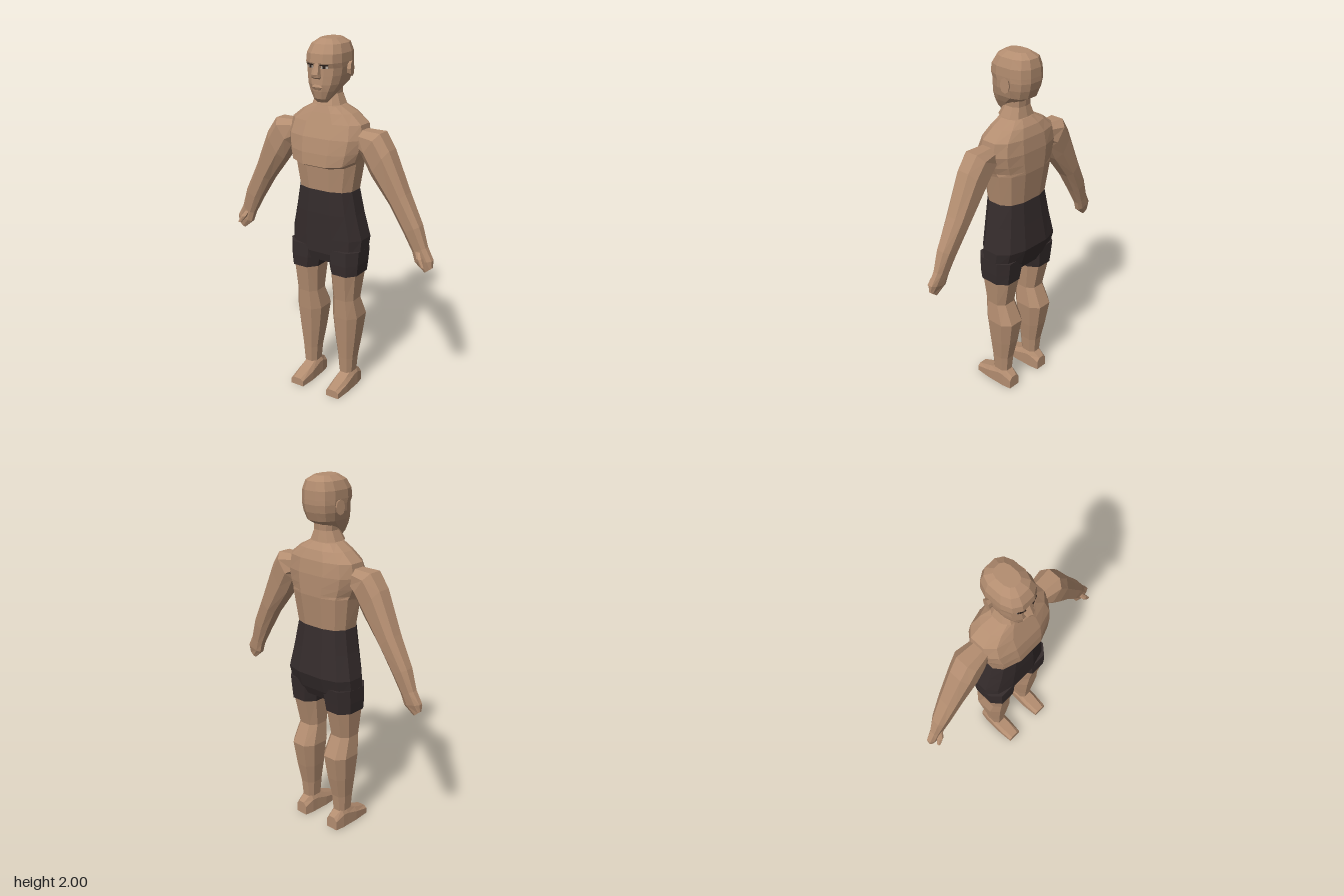
import * as THREE from 'three';

const pw = (v, p) => Math.sign(v) * Math.abs(v) ** p;

// Horizontal cross-section; dip lowers its front half
function ring(cx, y, w, zf, zb, n = 12, dip = 0) {
  const pts = [];
  const k = Math.cos(Math.PI / n); // widest corners reach the given extents
  for (let i = 0; i < n; i++) {
    const a = ((i + 0.5) / n) * Math.PI * 2;
    const x = THREE.MathUtils.clamp(pw(Math.cos(a) / k, 0.75), -1, 1);
    const z = THREE.MathUtils.clamp(pw(Math.sin(a) / k, 0.75), -1, 1);
    pts.push([cx + w * x, y - dip * Math.max(0, z), (zf + zb) / 2 + ((zf - zb) / 2) * z]);
  }
  return pts;
}

// Limb cross-section between an inner and an outer point, with a depth range
function limbRing([xi, yi, xo, yo, zf, zb]) {
  return ring(0, 0, 1, zf, zb, 8).map(([t, , z]) =>
    [xi + (xo - xi) * (t + 1) / 2, yi + (yo - yi) * (t + 1) / 2, z]);
}

// Closed skin over a row of cross-sections, always facing outwards
function loft(rings) {
  const n = rings[0].length, tris = [];
  for (let r = 0; r < rings.length - 1; r++) {
    for (let i = 0; i < n; i++) {
      const j = (i + 1) % n, A = rings[r], B = rings[r + 1];
      tris.push([A[i], B[i], B[j]], [A[i], B[j], A[j]]);
    }
  }
  const mid = (R) => [0, 1, 2].map((k) => R.reduce((s, q) => s + q[k], 0) / n);
  const first = rings[0], last = rings[rings.length - 1];
  const m0 = mid(first), m1 = mid(last);
  for (let i = 0; i < n; i++) {
    const j = (i + 1) % n;
    tris.push([m0, first[i], first[j]], [m1, last[j], last[i]]);
  }
  let vol = 0;
  for (const [a, b, c] of tris) {
    vol += a[0] * (b[1] * c[2] - b[2] * c[1]) + a[1] * (b[2] * c[0] - b[0] * c[2])
      + a[2] * (b[0] * c[1] - b[1] * c[0]);
  }
  if (vol < 0) tris.forEach((t) => t.reverse());
  const g = new THREE.BufferGeometry();
  g.setAttribute('position', new THREE.Float32BufferAttribute(tris.flat(2), 3));
  g.computeVertexNormals();
  return g;
}

export function createModel() {
  const root = new THREE.Group();
  root.name = 'figure';
  const material = (name, color) => {
    const m = new THREE.MeshStandardMaterial({ color, flatShading: true });
    m.name = name;
    return m;
  };
  const skin = material('skin', 0xb38d70);
  const cloth = material('shorts', 0x352c2c);
  const dark = material('eyes', 0x2a1f1a);
  const white = material('eye whites', 0xb9aca0);

  const add = (name, rings, mat = skin) => {
    const m = new THREE.Mesh(loft(rings), mat);
    m.name = name;
    root.add(m);
  };
  const flip = (rings, s) => rings.map((R) => R.map(([x, y, z]) => [x * s, y, z]));

  // Torso, with the overhanging chest edge
  add('torso', [
    [1.66, 0.085, 0.06, -0.08],
    [1.625, 0.15, 0.075, -0.11],
    [1.575, 0.212, 0.095, -0.13],
    [1.5, 0.225, 0.125, -0.14],
    [1.44, 0.212, 0.14, -0.14, 0.02],
    [1.4, 0.195, 0.145, -0.14, 0.045],
    [1.385, 0.19, 0.112, -0.14, 0.045],
    [1.21, 0.165, 0.1, -0.118],
  ].map(([y, w, f, b, dip]) => ring(0, y, w, f, b, 12, dip)));

  // Neck
  add('neck', [
    [1.665, 0.085, 0.07, -0.085],
    [1.72, 0.06, 0.045, -0.072],
    [1.8, 0.062, 0.04, -0.075],
  ].map(([y, w, f, b]) => ring(0, y, w, f, b, 10)));

  // Head, from chin to crown
  add('head', [
    [1.68, 0.03, 0.082, 0.04],
    [1.7, 0.045, 0.098, 0.01],
    [1.74, 0.068, 0.108, -0.05],
    [1.775, 0.085, 0.112, -0.115],
    [1.82, 0.096, 0.108, -0.132],
    [1.86, 0.1, 0.106, -0.14],
    [1.885, 0.101, 0.118, -0.14],
    [1.93, 0.099, 0.112, -0.138],
    [1.975, 0.082, 0.085, -0.125],
    [2.0, 0.045, 0.045, -0.085],
  ].map(([y, w, f, b]) => ring(0, y, w, f, b)));

  // Nose and lips
  add('nose', [
    [1.885, 0.012, 0.12, 0.09],
    [1.83, 0.02, 0.145, 0.09],
    [1.815, 0.024, 0.14, 0.09],
    [1.805, 0.018, 0.118, 0.09],
  ].map(([y, w, f, b]) => ring(0, y, w, f, b, 6)));
  add('lips', [
    [1.775, 0.018, 0.115, 0.09],
    [1.763, 0.032, 0.12, 0.09],
    [1.748, 0.018, 0.113, 0.09],
  ].map(([y, w, f, b]) => ring(0, y, w, f, b, 6)));

  // Hips of the shorts
  add('shortsHips', [
    [1.21, 0.166, 0.101, -0.119],
    [1.08, 0.19, 0.104, -0.135],
    [0.94, 0.222, 0.102, -0.154],
    [0.85, 0.218, 0.1, -0.125],
    [0.8, 0.2, 0.085, -0.1],
  ].map(([y, w, f, b]) => ring(0, y, w, f, b)), cloth);

  for (const s of [1, -1]) {
    const side = s > 0 ? 'left' : 'right';

    // Shorts leg
    add(side + 'ShortsLeg', flip([
      [0.121, 0.88, 0.099, 0.1, -0.125],
      [0.124, 0.8, 0.093, 0.102, -0.115],
      [0.127, 0.74, 0.085, 0.1, -0.108],
    ].map(([x, y, w, f, b]) => ring(x, y, w, f, b, 8)), s), cloth);

    // Bare leg with knee and calf
    add(side + 'Leg', flip([
      [0.123, 0.745, 0.079, 0.097, -0.104],
      [0.12, 0.58, 0.066, 0.075, -0.07],
      [0.12, 0.465, 0.08, 0.068, -0.124],
      [0.12, 0.32, 0.064, 0.055, -0.1],
      [0.121, 0.2, 0.048, 0.043, -0.075],
      [0.121, 0.105, 0.041, 0.036, -0.066],
    ].map(([x, y, w, f, b]) => ring(x, y, w, f, b, 8)), s));

    // Foot, from heel to toe
    add(side + 'Foot', flip([
      [-0.105, 0.085, 0.157, 0.075],
      [-0.05, 0.076, 0.166, 0.115],
      [-0.015, 0.076, 0.166, 0.112],
      [0.06, 0.073, 0.168, 0.08],
      [0.155, 0.08, 0.162, 0.045],
    ].map(([z, a, b, t]) => [
      [a, 0, z], [b, 0, z], [b, t * 0.7, z],
      [b - 0.018, t, z], [a + 0.018, t, z], [a, t * 0.7, z],
    ]), s));

    // Arm and hand
    add(side + 'Arm', flip([
      [0.2, 1.44, 0.21, 1.55, 0.05, -0.065],
      [0.225, 1.41, 0.325, 1.548, 0.065, -0.082],
      [0.28, 1.32, 0.382, 1.465, 0.065, -0.075],
      [0.39, 1.175, 0.478, 1.25, 0.048, -0.066],
      [0.468, 1.045, 0.56, 1.09, 0.036, -0.05],
      [0.522, 0.945, 0.598, 0.98, 0.022, -0.034],
      [0.54, 0.89, 0.636, 0.915, 0.02, -0.026],
      [0.597, 0.842, 0.637, 0.875, 0.01, -0.012],
    ].map(limbRing), s));

    // Thumb
    add(side + 'Thumb', flip([
      [0.56, 0.955, 0.012, 0.025, 0],
      [0.577, 0.925, 0.015, 0.046, 0.01],
      [0.602, 0.885, 0.009, 0.05, 0.032],
    ].map(([x, y, w, f, b]) => ring(x, y, w, f, b, 6)), s));

    // Ear
    const ear = new THREE.Mesh(new THREE.CylinderGeometry(0.034, 0.024, 0.03, 8), skin);
    ear.name = side + 'Ear';
    ear.scale.set(1.2, 1, 0.8);
    ear.rotation.z = -s * Math.PI / 2;
    ear.rotation.y = s * 0.2;
    ear.position.set(s * 0.103, 1.848, -0.035);
    root.add(ear);

    // Eye: white, pupil and upper lid line as thin plates
    const plate = (name, w, h, x, y, z, mat) => {
      const m = new THREE.Mesh(new THREE.BoxGeometry(w, h, 0.008), mat);
      m.name = side + name;
      m.position.set(s * x, y, z);
      m.rotation.y = s * 0.4;
      root.add(m);
    };
    plate('EyeWhite', 0.036, 0.013, 0.042, 1.865, 0.104, white);
    plate('Pupil', 0.015, 0.014, 0.04, 1.865, 0.107, dark);
    plate('EyeLine', 0.042, 0.006, 0.042, 1.876, 0.11, dark);
  }

  return root;
}
